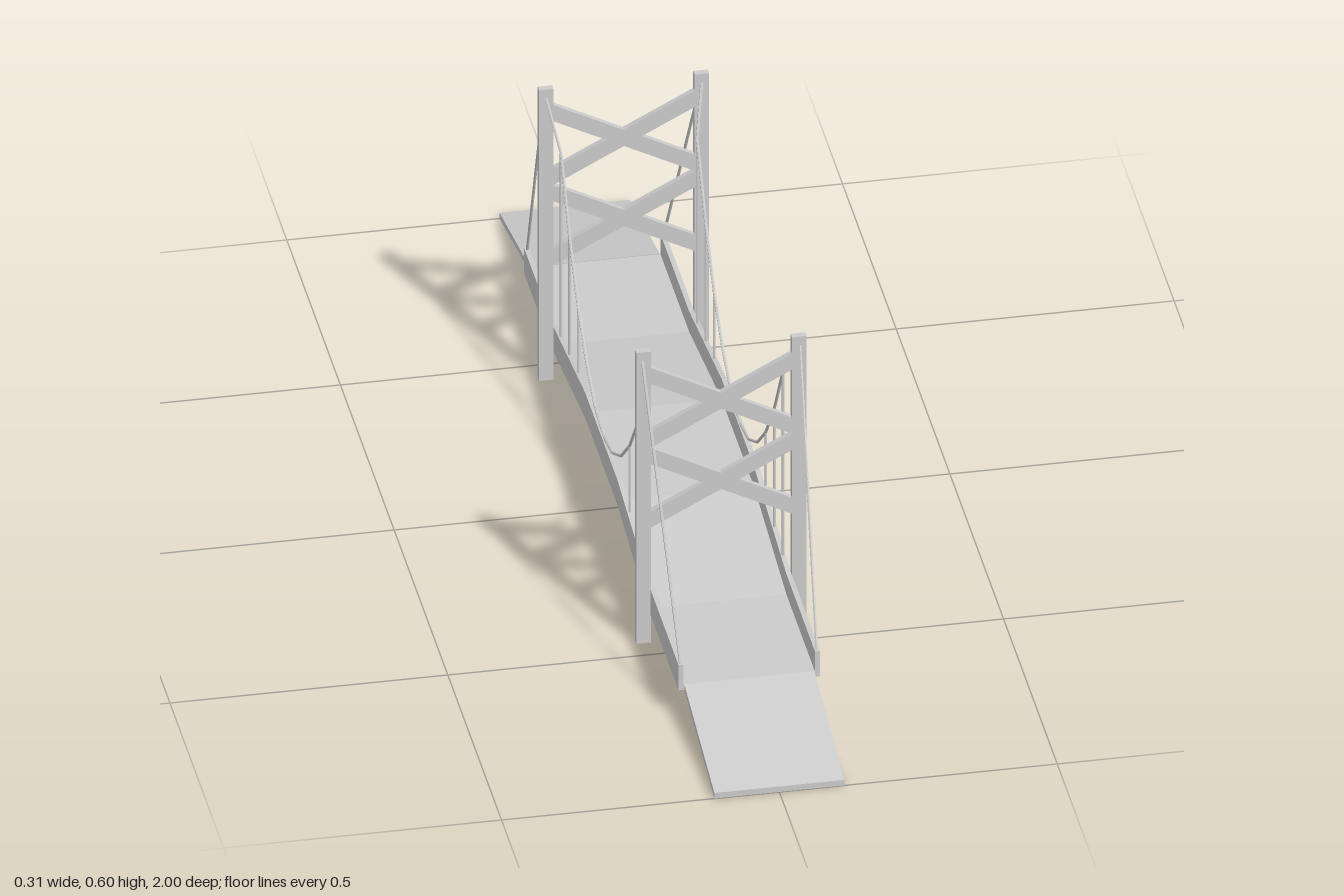
import * as THREE from 'three';

const TOWER_Z = 0.453;
const mat = new THREE.MeshStandardMaterial({ color: 0xcccccc, flatShading: true });

function add(parent, name, geometry) {
  const mesh = new THREE.Mesh(geometry, mat);
  mesh.name = name;
  parent.add(mesh);
  return mesh;
}

// Extrude an outline by a depth centred on its plane
function slab(points, depth) {
  const shape = new THREE.Shape(points.map(([x, y]) => new THREE.Vector2(x, y)));
  const g = new THREE.ExtrudeGeometry(shape, { depth, bevelEnabled: false });
  return g.translate(0, 0, -depth / 2);
}

// Strip of even height following a side profile [z, y], spanning a width in x
function strip(profile, height, width) {
  const top = profile.map(([z, y]) => [z, y + height]).reverse();
  return slab([...profile, ...top], width).rotateY(-Math.PI / 2);
}

// Straight round bar between two points
function rod(parent, name, a, b, radius) {
  const dir = b.clone().sub(a);
  const mesh = add(parent, name, new THREE.CylinderGeometry(radius, radius, dir.length(), 6));
  mesh.position.copy(a).add(b).multiplyScalar(0.5);
  mesh.quaternion.setFromUnitVectors(new THREE.Vector3(0, 1, 0), dir.normalize());
}

export function createModel() {
  const bridge = new THREE.Group();
  bridge.name = 'suspensionBridge';

  // Arched roadway with a side wall along each edge
  const arch = [[-0.72, 0.057], [-TOWER_Z, 0.057], [-0.15, 0.099],
    [0.15, 0.099], [TOWER_Z, 0.057], [0.72, 0.057]];
  add(bridge, 'deck', strip(arch, 0.01, 0.237));
  for (const s of [-1, 1]) {
    add(bridge, 'sideWall', strip(arch, 0.052, 0.009)).position.x = s * 0.1228;
  }

  // Sloping ramps at both ends
  for (const s of [-1, 1]) {
    const ramp = [[s * 0.72, 0.057], [s, 0]];
    add(bridge, 'ramp', strip(s > 0 ? ramp : ramp.reverse(), 0.0115, 0.234));
  }

  // Cross brace outline: two crossing bars with vertical ends
  const w = 0.128, h = 0.0665, t = 0.0167, a = (w * t) / h;
  const cross = [[-w, -h - t], [0, -t], [w, -h - t], [w, -h + t], [a, 0], [w, h - t],
    [w, h + t], [0, t], [-w, h + t], [-w, h - t], [-a, 0], [-w, -h + t]];

  // Towers: two posts joined by two stacked cross braces
  for (const s of [-1, 1]) {
    const tower = new THREE.Group();
    tower.name = 'tower';
    tower.position.z = s * TOWER_Z;
    for (const x of [-0.14, 0.14]) {
      add(tower, 'post', new THREE.BoxGeometry(0.026, 0.602, 0.013)).position.set(x, 0.301, 0);
    }
    for (const y of [0.485, 0.319]) {
      add(tower, 'crossBrace', slab(cross, 0.011)).position.y = y;
    }
    bridge.add(tower);
  }

  // Cables on each side: hanging main span, hangers and back stays
  const sag = z => 0.15 + 0.445 * (z / TOWER_Z) ** 2;
  const stations = [0, 0.08, 0.16, 0.24, 0.32, 0.4];
  for (const sx of [-1, 1]) {
    const cables = new THREE.Group();
    cables.name = 'cables';
    for (const sz of [-1, 1]) {
      const v = (x, y, z) => new THREE.Vector3(sx * x, y, sz * z);
      const top = v(0.142, 0.592, TOWER_Z);
      const pts = [...stations.map(z => v(0.1225, sag(z), z)), top];
      for (let i = 1; i < pts.length; i++) {
        rod(cables, 'mainCable', pts[i - 1], pts[i], 0.0027);
      }
      for (const z of [0.24, 0.32, 0.4]) {
        rod(cables, 'hanger', v(0.1225, 0.1, z), v(0.1225, sag(z), z), 0.0025);
      }
      rod(cables, 'backStay', top, v(0.1225, 0.106, 0.715), 0.0027);
    }
    bridge.add(cables);
  }
  return bridge;
}
